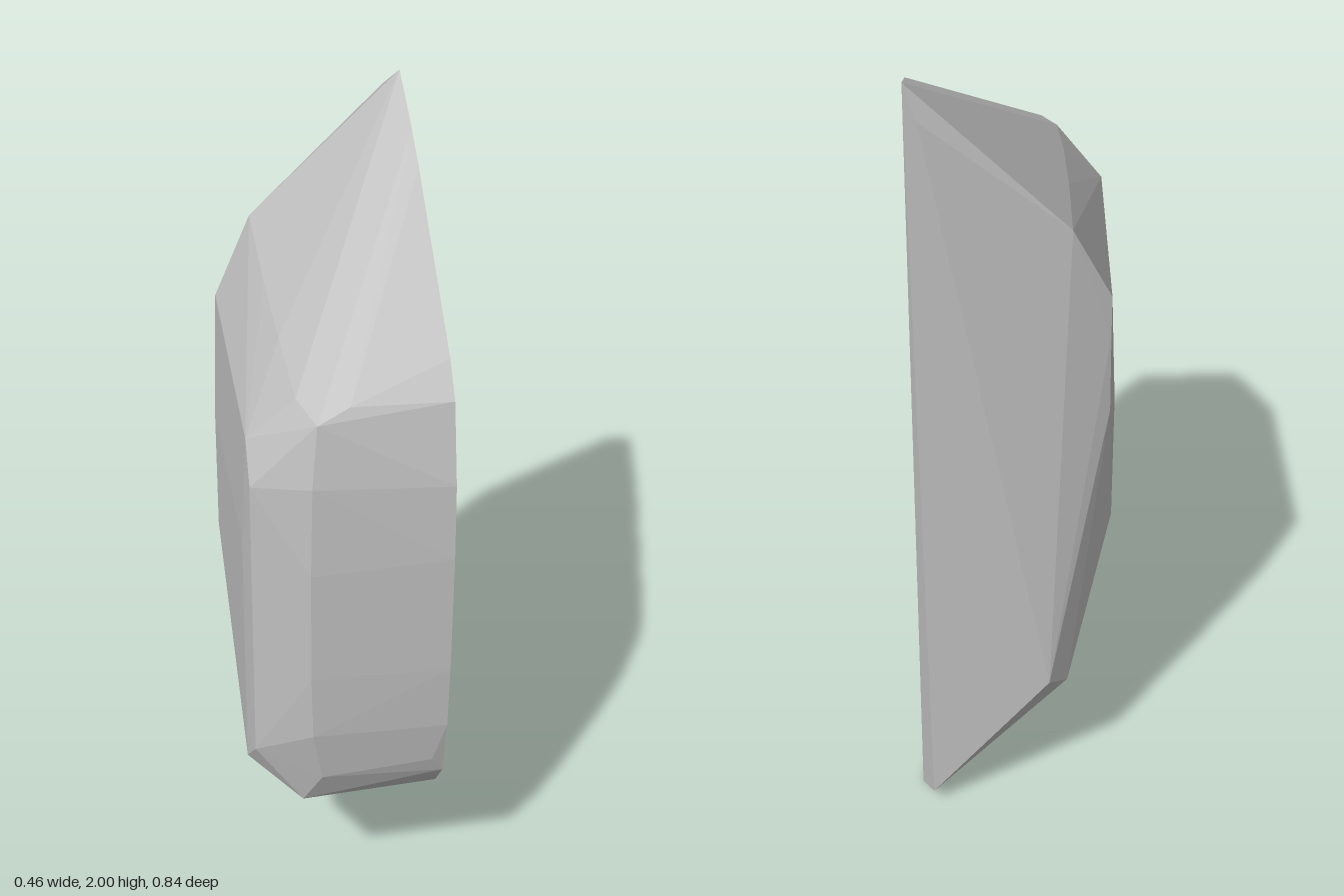
import * as THREE from 'three';
import { ConvexGeometry } from 'three/addons/geometries/ConvexGeometry.js';

// Outline of the large flat side, as [z, y]
const SIDE_X = 0.23;
const sideOutline = [
  [-0.36, 2], [-0.2, 1.93], [-0.11, 1.88], [0.29, 1.62], [0.355, 1.55],
  [0.405, 1.36], [0.418, 1.17], [0.418, 0.85], [0.408, 0.67], [0.375, 0.5],
  [0.3, 0.4], [-0.1, 0.14], [-0.2, 0.08], [-0.33, 0],
];

// Corners of the worn faces, as [x, y, z]
const backCorners = [
  [0.2, 1.94, -0.417], [0.2, 0.05, -0.417], [-0.085, 0.41, -0.417],
];
const topCorners = [
  [-0.125, 1.65, -0.365], [-0.125, 1.617, -0.11], [-0.12, 1.59, 0.1],
  [-0.11, 1.55, 0.29], [0, 1.56, 0.357], [-0.075, 1.53, 0.375],
];
const frontCorners = [
  [-0.09, 1.38, 0.4], [-0.095, 1.15, 0.408], [-0.095, 0.85, 0.408],
  [-0.09, 0.67, 0.402], [-0.065, 0.52, 0.38], [0.2, 0.55, 0.39],
];
const outerSideCorners = [
  [-0.215, 1.46, -0.33], [-0.215, 1.36, -0.335], [-0.217, 1.16, -0.335],
  [-0.23, 1.15, -0.28], [-0.23, 0.82, -0.28], [-0.217, 1.43, 0.25],
  [-0.217, 1.34, 0.31], [-0.23, 1.15, 0.25], [-0.23, 0.5, 0.25],
  [-0.217, 0.57, 0.31],
];
const bottomCorners = [
  [-0.13, 0.37, -0.36], [-0.13, 0.34, 0.03], [-0.19, 0.43, 0.2],
  [-0.105, 0.41, 0.33],
];

export function createModel() {
  const group = new THREE.Group();
  group.name = 'facetedStone';

  const stone = new THREE.MeshStandardMaterial({ color: 0xbfbfbf });
  stone.name = 'stone grey';

  // One faceted convex block stretched over all the corners
  const points = [
    ...sideOutline.map(([z, y]) => new THREE.Vector3(SIDE_X, y, z)),
    ...[backCorners, topCorners, frontCorners, outerSideCorners, bottomCorners]
      .flat().map((p) => new THREE.Vector3(...p)),
  ];
  const block = new THREE.Mesh(new ConvexGeometry(points), stone);
  block.name = 'stoneBlock';
  group.add(block);
  return group;
}
